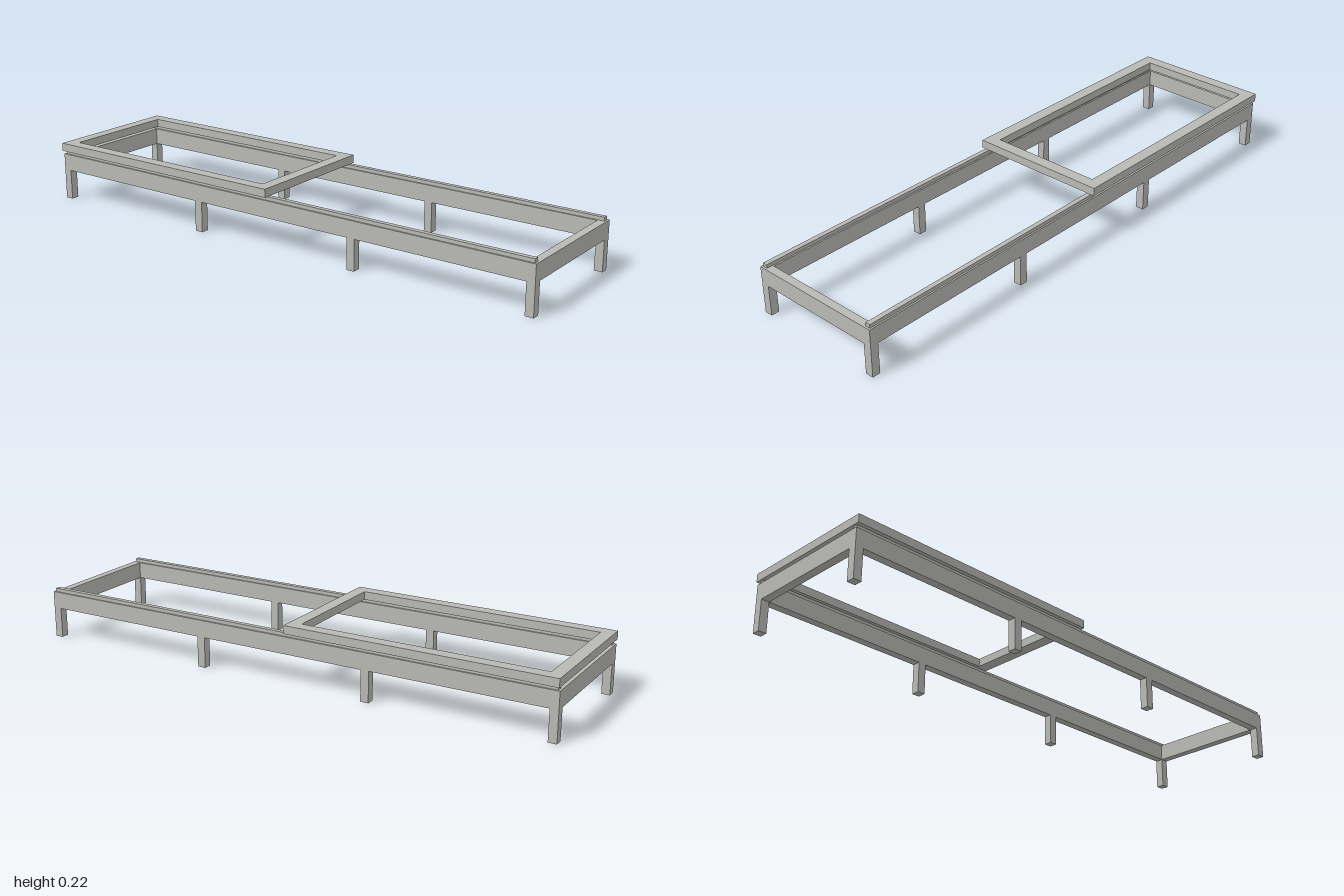
import * as THREE from 'three';

export function createModel() {
  const model = new THREE.Group();
  const metal = new THREE.MeshStandardMaterial({ color: 0xb8b8b5 });
  metal.name = 'light grey metal';

  const add = (name, geometry, x, y, z) => {
    const mesh = new THREE.Mesh(geometry, metal);
    mesh.name = name;
    mesh.position.set(x, y, z);
    model.add(mesh);
  };

  // Flat rectangular ring lying in the xz plane, bottom at y = 0
  const ring = (w, d, h, t) => {
    const rect = (a, b, path) => path
      .moveTo(-a, -b).lineTo(a, -b).lineTo(a, b).lineTo(-a, b).closePath();
    const shape = rect(w / 2, d / 2, new THREE.Shape());
    shape.holes.push(rect(w / 2 - t, d / 2 - t, new THREE.Path()));
    return new THREE.ExtrudeGeometry(shape, { depth: h, bevelEnabled: false }).rotateX(-Math.PI / 2);
  };

  // Long base frame
  add('baseFrame', ring(2, 0.508, 0.062, 0.03), 0, 0.112, 0);

  for (const side of [-1, 1]) {
    // Slide rail on each long side
    add('slideRail', new THREE.BoxGeometry(1.985, 0.013, 0.018), 0, 0.1805, side * 0.239);
    // Four square legs under each long side
    for (const x of [-0.985, -0.328, 0.328, 0.985]) {
      add('leg', new THREE.BoxGeometry(0.03, 0.112, 0.03), x, 0.056, side * 0.239);
    }
  }

  // Sliding upper frame resting on the rails
  add('slidingFrame', ring(0.98, 0.524, 0.03, 0.045), -0.51, 0.187, 0);

  return model;
}
